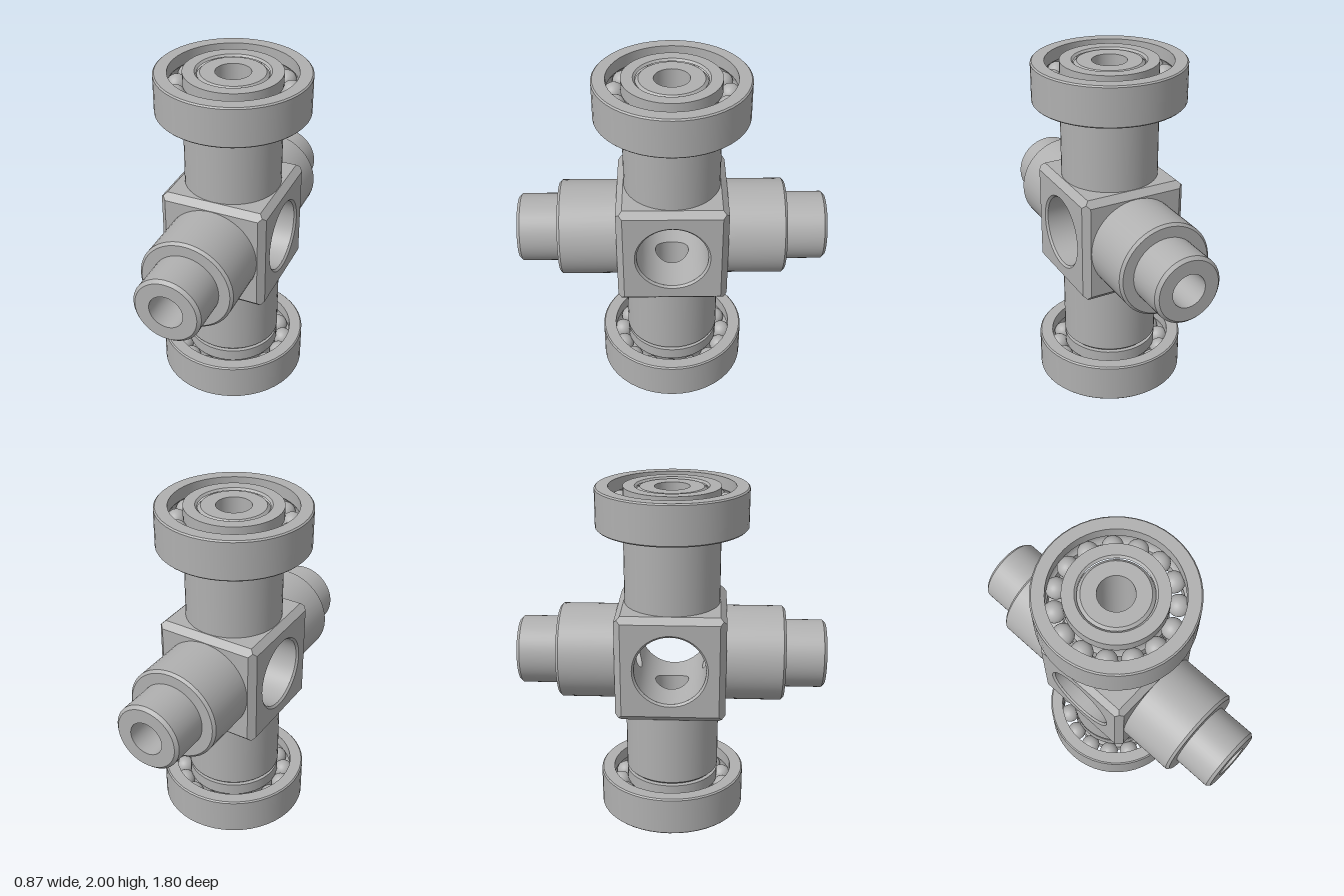
import * as THREE from 'three';
import { mergeGeometries } from 'three/addons/utils/BufferGeometryUtils.js';
import { ConvexGeometry } from 'three/addons/geometries/ConvexGeometry.js';

const HALF = 0.32, CHAMFER = 0.037;   // central block
const CROSS = 0.207, BORE = 0.1;      // radius of the cross hole and of the arm bores
const SEG = 48;

// Turned part around y: every profile segment gets its own normals, so edges stay sharp.
// Runs of points given as a nested array are smoothed together.
function turned(profile) {
  const parts = [];
  for (let i = 0; i < profile.length - 1; i++) {
    const pts = [profile[i], profile[i + 1]].map(p => new THREE.Vector2(p[0], p[1]));
    parts.push(new THREE.LatheGeometry(pts, SEG));
  }
  return mergeGeometries(parts);
}

// Surface on a grid: point(u, v) and normal(point) decide the shape and the facing side.
function surface(nu, nv, point, normal) {
  const pos = [], nor = [], idx = [], P = [];
  for (let j = 0; j <= nv; j++) for (let i = 0; i <= nu; i++) {
    const p = point(i / nu, j / nv);
    P.push(p);
    pos.push(...p.toArray());
    nor.push(...normal(p).normalize().toArray());
  }
  const tri = new THREE.Triangle(), n = new THREE.Vector3();
  const add = (a, b, c) => {
    tri.set(P[a], P[b], P[c]).getNormal(n);
    if (n.dot(normal(P[a])) > 0) idx.push(a, b, c); else idx.push(a, c, b);
  };
  for (let j = 0; j < nv; j++) for (let i = 0; i < nu; i++) {
    const a = j * (nu + 1) + i, b = a + 1, c = a + nu + 1, d = c + 1;
    add(a, b, d);
    add(a, d, c);
  }
  const g = new THREE.BufferGeometry();
  g.setAttribute('position', new THREE.Float32BufferAttribute(pos, 3));
  g.setAttribute('normal', new THREE.Float32BufferAttribute(nor, 3));
  g.setIndex(idx);
  return g;
}

// Chamfered edges of the block, without its six flat faces
function blockEdges() {
  const pts = [], c = HALF - CHAMFER, q = HALF - CHAMFER / 2;
  for (const x of [-1, 1]) for (const y of [-1, 1]) for (const z of [-1, 1])
    for (const [a, b, d] of [[HALF, c, c], [c, HALF, c], [c, c, HALF], [q, q, q]])
      pts.push(new THREE.Vector3(a * x, b * y, d * z));
  const src = new ConvexGeometry(pts).getAttribute('position');
  const out = [], v = new THREE.Vector3();
  for (let i = 0; i < src.count; i += 3) {
    const t = [0, 1, 2].map(k => v.fromBufferAttribute(src, i + k).toArray());
    const flat = [0, 1, 2].some(ax => t.every(p => Math.abs(Math.abs(p[ax]) - HALF) < 1e-5));
    if (!flat) out.push(...t.flat());
  }
  const g = new THREE.BufferGeometry();
  g.setAttribute('position', new THREE.Float32BufferAttribute(out, 3));
  g.computeVertexNormals();
  return g;
}

// Flat block face with a round opening, facing +z
function blockFace(radius) {
  const c = HALF - CHAMFER;
  const s = new THREE.Shape([[-c, -c], [c, -c], [c, c], [-c, c]].map(p => new THREE.Vector2(...p)));
  const hole = new THREE.Path();
  hole.absarc(0, 0, radius, 0, Math.PI * 2, true);
  s.holes.push(hole);
  return new THREE.ShapeGeometry(s, 24).translate(0, 0, HALF);
}

// Quarter of the cross hole wall (axis x, on the +y side) with a bore opening into it
function crossWall() {
  return surface(SEG, 6, (u, v) => {
    const t = u * Math.PI * 2, c = Math.cos(t), s = Math.sin(t), m = Math.max(Math.abs(c), Math.abs(s));
    const a = THREE.MathUtils.lerp(Math.asin(BORE * s / CROSS), Math.PI / 4 * s / m, v);
    const x = THREE.MathUtils.lerp(BORE * c, (HALF - 0.012) * c / m, v);
    return new THREE.Vector3(x, CROSS * Math.cos(a), CROSS * Math.sin(a));
  }, p => new THREE.Vector3(0, -p.y, -p.z));
}

// Bore along +y, starting on the curved cross hole wall
function boreWall(end) {
  return surface(SEG, 1, (u, v) => {
    const t = u * Math.PI * 2, z = BORE * Math.sin(t);
    return new THREE.Vector3(BORE * Math.cos(t), v ? end : Math.sqrt(CROSS * CROSS - z * z), z);
  }, p => new THREE.Vector3(-p.x, 0, -p.z));
}

// Stepped arm along +y
function armBody(shoulder, end) {
  return turned([[0.28, HALF - 0.02], [0.28, shoulder - 0.015], [0.265, shoulder], [0.2, shoulder],
    [0.2, end - 0.018], [0.182, end], [BORE, end]]);
}

// Race groove around the balls, as profile points from angle a0 to a1
function groove(a0, a1, mid) {
  return Array.from({ length: 9 }, (_, i) => {
    const a = a0 + (a1 - a0) * i / 8;
    return [0.319 + 0.061 * Math.cos(a), mid + 0.061 * Math.sin(a)];
  });
}

export function createModel() {
  const model = new THREE.Group();
  const steel = new THREE.MeshStandardMaterial({ color: 0xb0b0b0 });
  steel.name = 'steel grey';
  const add = (parent, name, geometry) => {
    const m = new THREE.Mesh(geometry, steel);
    m.name = name;
    parent.add(m);
    return m;
  };

  const body = new THREE.Group();
  body.name = 'crossBody';
  body.position.y = 1;
  model.add(body);

  // Central block
  add(body, 'blockEdges', blockEdges());
  for (let i = 0; i < 4; i++) {
    add(body, 'blockFace', blockFace(0.272)).rotation.x = i * Math.PI / 2;
    add(body, 'crossHoleWall', crossWall()).rotation.x = i * Math.PI / 2;
  }
  for (const side of [-1, 1]) {
    add(body, 'openFace', blockFace(0.219)).rotation.y = side * Math.PI / 2;
    const rim = turned([[0.219, HALF], [CROSS, HALF - 0.012]]);
    add(body, 'crossHoleRim', rim).rotation.z = -side * Math.PI / 2;
  }

  // Four arms: up, front, down, back
  const lo = 0.765, hi = 1, mid = (lo + hi) / 2, e = 0.008;
  for (let i = 0; i < 4; i++) {
    const upright = i % 2 === 0;
    const arm = new THREE.Group();
    arm.name = ['upperArm', 'frontArm', 'lowerArm', 'backArm'][i];
    arm.rotation.x = i * Math.PI / 2;
    body.add(arm);
    const end = upright ? 0.995 : 0.9;
    add(arm, 'armBody', armBody(upright ? 0.755 : 0.66, end));
    add(arm, 'armBore', boreWall(end));
    if (!upright) continue;

    // Ball bearing on the upright arms
    const bearing = new THREE.Group();
    bearing.name = 'bearing';
    arm.add(bearing);
    const k = Math.acos(0.041 / 0.061);
    add(bearing, 'outerRing', turned([[0.36, lo], [0.437 - e, lo], [0.437, lo + e], [0.437, hi - e],
      [0.437 - e, hi], [0.36, hi], ...groove(k, -k, mid), [0.36, lo]]));
    add(bearing, 'innerRing', turned([[0.2, lo + 0.012], [0.212, lo], [0.278, lo],
      ...groove(Math.PI + k, Math.PI - k, mid), [0.278, hi], [0.212, hi], [0.2, hi - 0.012]]));
    const ball = new THREE.SphereGeometry(0.059, 24, 16);
    for (let b = 0; b < 15; b++) {
      const a = (b * 24 + 2) * Math.PI / 180 * (i ? -1 : 1);
      add(bearing, 'ball', ball).position.set(0.319 * Math.cos(a), mid, 0.319 * Math.sin(a));
    }
  }
  return model;
}
